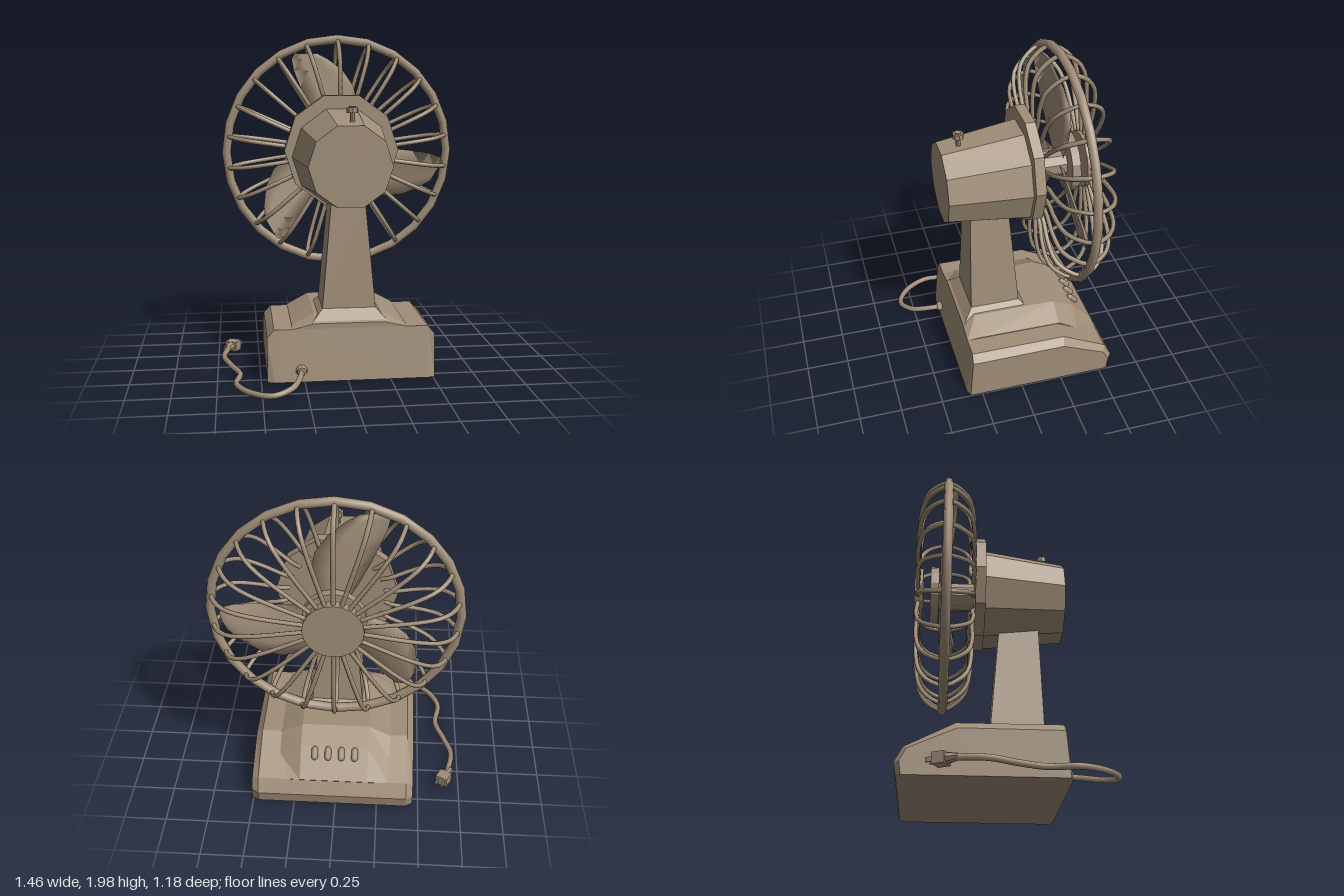
import * as THREE from 'three';
import { mergeVertices } from 'three/addons/utils/BufferGeometryUtils.js';

const V = (x, y, z) => new THREE.Vector3(x, y, z);
const COLOR = 0xa08e78;
const flat = new THREE.MeshStandardMaterial({ color: COLOR, flatShading: true });
const smooth = new THREE.MeshStandardMaterial({ color: COLOR });
const CX = 0.01, CY = 1.283, RIM_Z = -0.34;

// Closed skin over matching loops, each counter-clockwise seen from the end of the loft
function loft(sections, rounded = false) {
  const pos = [];
  const tri = (...pts) => pts.forEach((p) => pos.push(p.x, p.y, p.z));
  const n = sections[0].length;
  for (let s = 0; s < sections.length - 1; s++) {
    const A = sections[s], B = sections[s + 1];
    for (let i = 0; i < n; i++) {
      const j = (i + 1) % n;
      tri(A[i], A[j], B[j]);
      tri(A[i], B[j], B[i]);
    }
  }
  const cap = (loop, flip) => {
    const c = loop.reduce((a, p) => a.add(p), V(0, 0, 0)).divideScalar(n);
    loop.forEach((p, i) => {
      const q = loop[(i + 1) % n];
      flip ? tri(c, q, p) : tri(c, p, q);
    });
  };
  cap(sections[0], true);
  cap(sections[sections.length - 1], false);
  let geo = new THREE.BufferGeometry();
  geo.setAttribute('position', new THREE.Float32BufferAttribute(pos, 3));
  if (rounded) geo = mergeVertices(geo);
  geo.computeVertexNormals();
  return geo;
}

const decagon = (r, cy, z) => Array.from({ length: 10 }, (_, i) => {
  const a = (i / 10) * Math.PI * 2;
  return V(CX + r * Math.cos(a), cy + r * Math.sin(a), z);
});
const rect = (x0, x1, z0, z1, y) => [V(x0, y, z1), V(x1, y, z1), V(x1, y, z0), V(x0, y, z0)];
const slice = (x, profile) => profile.map(([z, y]) => V(x, y, z));

export function createModel() {
  const fan = new THREE.Group();
  fan.name = 'deskFan';
  const add = (name, geo, mat = flat, parent = fan) => {
    const m = new THREE.Mesh(geo, mat);
    m.name = name;
    parent.add(m);
    return m;
  };
  // Cylinder lying along z
  const disc = (name, r, z0, z1, sides, parent = fan) => {
    const m = add(name, new THREE.CylinderGeometry(r, r, z1 - z0, sides), flat, parent);
    m.rotation.x = Math.PI / 2;
    m.position.set(CX, CY, (z0 + z1) / 2);
    return m;
  };

  // Base body with softened ends
  const body = [[0.34, 0.025], [-0.57, 0.025], [-0.585, 0.1], [-0.54, 0.185], [-0.27, 0.322], [0.3, 0.325]];
  const bodyEnd = [[0.325, 0.025], [-0.545, 0.025], [-0.555, 0.1], [-0.52, 0.165], [-0.26, 0.28], [0.305, 0.28]];
  add('base', loft([slice(-0.465, bodyEnd), slice(-0.425, body), slice(0.465, body), slice(0.505, bodyEnd)]));

  // Raised control panel, sloping at the back and flaring at its sides
  const panel = [[0.3, 0.3], [-0.535, 0.17], [-0.545, 0.187], [-0.41, 0.33], [-0.28, 0.395], [0.22, 0.395], [0.3, 0.355]];
  const panelEnd = [[0.3, 0.3], [-0.535, 0.17], [-0.54, 0.182], [-0.4, 0.255], [-0.28, 0.325], [0.22, 0.33], [0.3, 0.325]];
  add('controlPanel', loft([
    slice(-0.32, panelEnd), slice(-0.19, panel), slice(0.215, panel), slice(0.345, panelEnd)]));

  // Four push buttons on the slope
  for (let i = 0; i < 4; i++) {
    const b = add('button', new THREE.CapsuleGeometry(0.02, 0.045, 3, 8), smooth);
    b.position.set(0.13 - i * 0.08, 0.31, -0.44);
    b.rotation.x = 0.82;
  }

  // Tapered neck with a flared foot
  add('neck', loft([
    rect(-0.21, 0.24, -0.14, 0.295, 0.35), rect(-0.14, 0.17, -0.07, 0.23, 0.425), rect(-0.085, 0.11, -0.02, 0.21, 1.06)]));

  // Motor housing and its collar
  add('motorHousing', loft([decagon(0.3, 1.273, -0.115), decagon(0.24, 1.262, 0.36)]));
  add('housingCollar', loft([decagon(0.345, 1.31, -0.17), decagon(0.345, 1.31, -0.11)]));

  // Oscillation knob
  const knob = [[0.014, 1.48, 1.56], [0.032, 1.555, 1.585], [0.02, 1.585, 1.592]];
  knob.forEach(([r, y0, y1]) => {
    add('oscillationKnob', new THREE.CylinderGeometry(r, r, y1 - y0, 8)).position.set(0.03, (y0 + y1) / 2, 0.25);
  });

  // Propeller: shaft, hub and three pitched blades
  const propeller = new THREE.Group();
  propeller.name = 'propeller';
  fan.add(propeller);
  disc('shaft', 0.085, -0.39, -0.15, 10, propeller);
  disc('hub', 0.18, -0.43, -0.38, 16, propeller);
  const outline = [ // height, left edge, right edge
    [0.06, -0.06, 0.06], [0.18, -0.13, 0.1], [0.3, -0.19, 0.125], [0.4, -0.235, 0.105],
    [0.5, -0.275, 0.035], [0.57, -0.288, -0.06], [0.605, -0.268, -0.13]];
  const bladeGeo = loft(outline.map(([y, x0, x1]) => {
    const at = (t, dz) => {
      const x = x0 + (x1 - x0) * t;
      return V(x, y, -0.345 - 0.24 * x - 0.02 * Math.sin(Math.PI * t) + dz);
    };
    return [at(0, 0), at(0.3, 0.008), at(0.7, 0.008), at(1, 0), at(0.7, -0.008), at(0.3, -0.008)];
  }), true);
  for (let i = 0; i < 3; i++) {
    const blade = add('blade', bladeGeo, smooth, propeller);
    blade.position.set(CX, CY, 0);
    blade.rotation.z = (i * Math.PI * 2) / 3;
  }

  // Cage: rim, back plate and curved wires
  const cage = new THREE.Group();
  cage.name = 'cage';
  fan.add(cage);
  const rim = add('cageRim', new THREE.TorusGeometry(0.691, 0.027, 8, 24), smooth, cage);
  rim.position.set(CX, CY, RIM_Z);
  disc('cageBackPlate', 0.168, -0.525, -0.475, 20, cage);
  const wire = new THREE.CatmullRomCurve3([
    V(0, 0.27, -0.165), V(0, 0.31, -0.183), V(0, 0.46, -0.183), V(0, 0.58, -0.205), V(0, 0.645, -0.26),
    V(0, 0.685, RIM_Z), V(0, 0.645, -0.43), V(0, 0.58, -0.478), V(0, 0.46, -0.502), V(0, 0.13, -0.502)]);
  const wireGeo = new THREE.TubeGeometry(wire, 28, 0.0135, 6);
  for (let i = 0; i < 22; i++) {
    const w = add('cageWire', wireGeo, smooth, cage);
    w.position.set(CX, CY, 0);
    w.rotation.z = (i / 22) * Math.PI * 2;
  }

  // Power cord with grommet
  const cord = new THREE.CatmullRomCurve3([
    V(-0.27, 0.09, 0.31), V(-0.28, 0.082, 0.4), V(-0.33, 0.058, 0.52), V(-0.44, 0.036, 0.575), V(-0.56, 0.034, 0.51),
    V(-0.64, 0.034, 0.36), V(-0.62, 0.034, 0.18), V(-0.67, 0.036, 0.03), V(-0.713, 0.045, -0.12), V(-0.69, 0.05, -0.27)]);
  add('powerCord', new THREE.TubeGeometry(cord, 50, 0.017, 8), smooth);
  const grommet = add('cordGrommet', new THREE.CylinderGeometry(0.026, 0.034, 0.03, 10));
  grommet.rotation.x = Math.PI / 2;
  grommet.position.set(-0.27, 0.09, 0.345);

  // Plug: tapered sleeve, body and two prongs
  const plug = new THREE.Group();
  plug.name = 'plug';
  plug.position.set(-0.67, 0.048, -0.325);
  plug.rotation.y = -0.5;
  fan.add(plug);
  add('plugBody', new THREE.BoxGeometry(0.075, 0.06, 0.07), flat, plug).position.z = -0.02;
  const sleeve = add('plugSleeve', new THREE.CylinderGeometry(0.02, 0.032, 0.06, 8), flat, plug);
  sleeve.rotation.x = Math.PI / 2;
  sleeve.position.z = 0.04;
  for (const s of [-1, 1]) {
    add('plugProng', new THREE.BoxGeometry(0.008, 0.025, 0.05), flat, plug).position.set(s * 0.02, 0, -0.07);
  }
  return fan;
}
